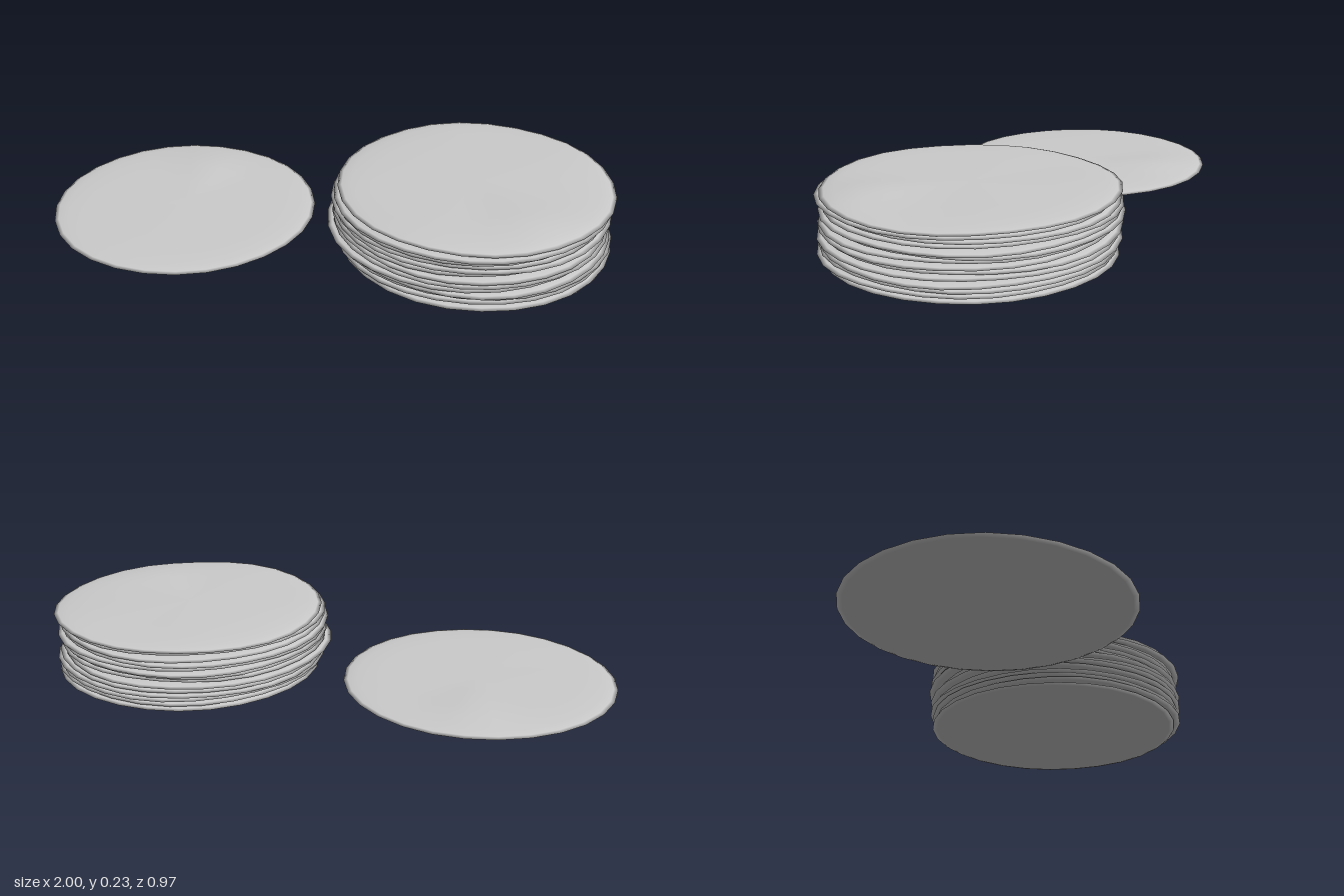
import * as THREE from 'three';
import { mergeVertices } from 'three/addons/utils/BufferGeometryUtils.js';

const material = new THREE.MeshStandardMaterial({ color: 0xcccccc });

// Small seeded generator for repeatable irregularities, range -1..1
function seeded(seed) {
  let s = seed;
  return () => {
    s = (s * 16807) % 2147483647;
    return (s / 2147483647) * 2 - 1;
  };
}

// Thin round flatbread: a lathed lens with a slim rim, rippled edge and soft top bulge
function flatbread(name, radius, ripple, bulge, seed) {
  const rand = seeded(seed);
  for (let i = 0; i < 5; i++) rand();
  const profile = [
    [0, 0], [0.5, 0], [0.85, 0], [0.96, 0.002], [1, 0.007], [0.97, 0.011],
    [0.9, 0.015], [0.75, 0.018], [0.55, 0.019], [0.3, 0.02], [0, 0.02],
  ].map(([r, y]) => new THREE.Vector2(r * radius, y));
  let geometry = new THREE.LatheGeometry(profile, 28);
  geometry.deleteAttribute('normal');
  geometry.deleteAttribute('uv');
  geometry = mergeVertices(geometry, 1e-4);

  const phase = [rand(), rand(), rand()].map((v) => v * Math.PI);
  const p = geometry.attributes.position;
  for (let i = 0; i < p.count; i++) {
    const x = p.getX(i), y = p.getY(i), z = p.getZ(i);
    const a = Math.atan2(z, x), r = Math.hypot(x, z) / radius;
    const wave = Math.sin(2 * a + phase[0]) + 0.6 * Math.sin(5 * a + phase[1]);
    const lift = bulge.h * Math.exp(-((x - bulge.x) ** 2 + (z - bulge.z) ** 2) / 0.012);
    const spread = 1 + ripple * 1.2 * Math.sin(3 * a + phase[2]);
    p.setXYZ(i, x * spread, y + ripple * wave * r * r + (y > 0.01 ? lift : 0), z * spread);
  }
  geometry.computeVertexNormals();
  const mesh = new THREE.Mesh(geometry, material);
  mesh.name = name;
  return mesh;
}

export function createModel() {
  const model = new THREE.Group();
  model.name = 'flatbreads';

  // Single flatbread lying beside the stack
  const single = flatbread('singleFlatbread', 0.473, 0.001, { x: 0, z: -0.28, h: 0.013 }, 7);
  single.position.set(-0.527, 0.01, -0.005);
  model.add(single);

  // Stack of slightly shifted flatbreads
  const stack = new THREE.Group();
  stack.name = 'flatbreadStack';
  const count = 14;
  const rand = seeded(4242);
  for (let i = 0; i < count; i++) {
    const top = i === count - 1, bottom = i === 0;
    const bulge = top ? { x: 0.2, z: 0.25, h: 0.011 } : { x: 0, z: 0, h: 0 };
    const bread = flatbread(`flatbread${i + 1}`, 0.473 + rand() * 0.005,
      bottom ? 0.0012 : 0.003, bulge, 101 + i * 977);
    const dx = rand() * 0.016, dz = rand() * 0.014;
    bread.position.set(top ? 0.52 : 0.506 + dx, 0.005 + i * 0.0158, top ? -0.006 : dz);
    bread.rotation.y = top ? 0 : i * 2.4;
    stack.add(bread);
  }
  model.add(stack);
  return model;
}
